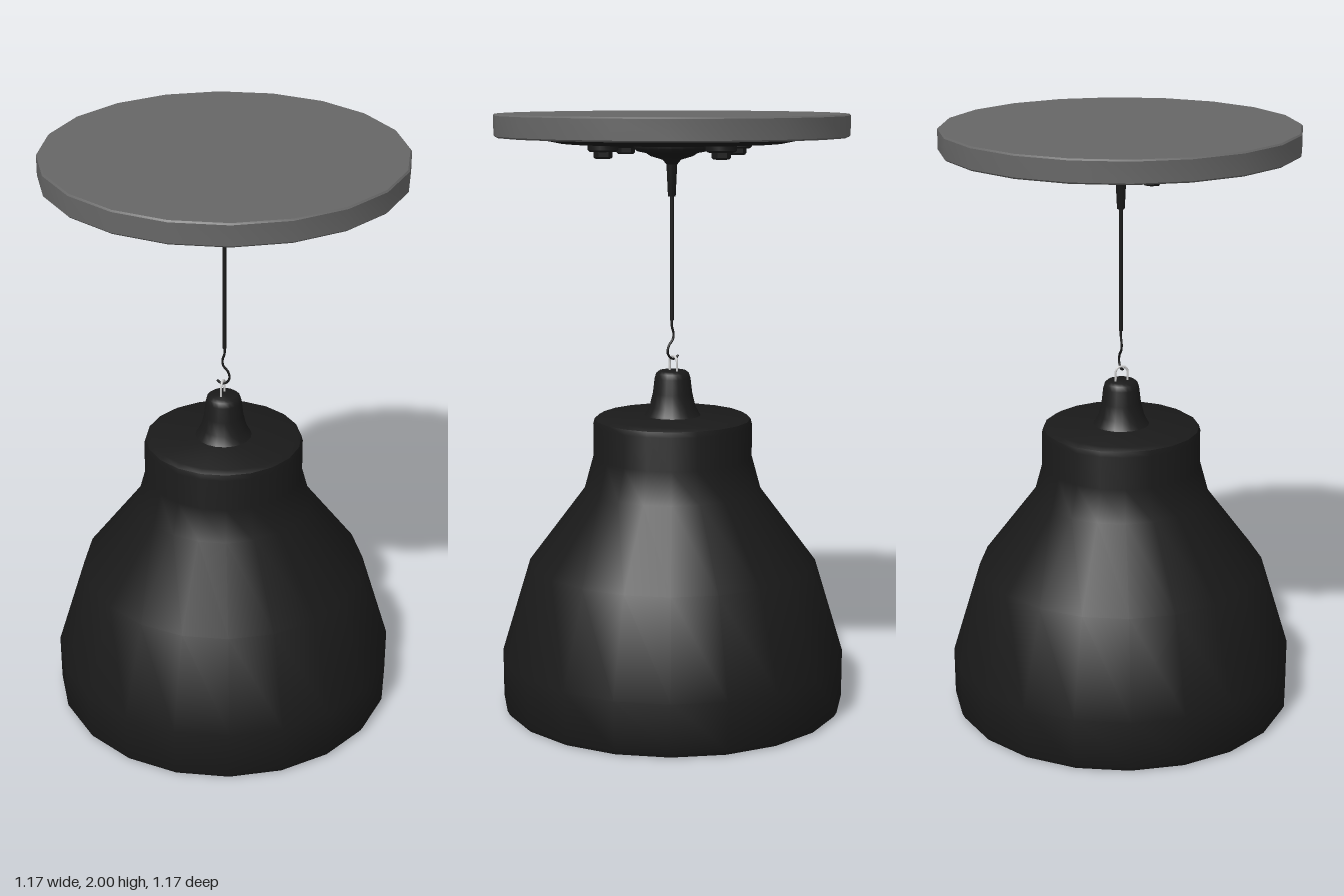
import * as THREE from 'three';
import { toCreasedNormals } from 'three/addons/utils/BufferGeometryUtils.js';

const black = new THREE.MeshStandardMaterial({ color: 0x1a1a1a });
const darkGrey = new THREE.MeshStandardMaterial({ color: 0x666666 });
const grey = new THREE.MeshStandardMaterial({ color: 0xcccccc });

function add(parent, name, geometry, material) {
  const mesh = new THREE.Mesh(geometry, material);
  mesh.name = name;
  parent.add(mesh);
  return mesh;
}

// Turned part from [radius, height] pairs; edges sharper than the crease stay hard
function turned(profile, sides = 20, crease = 0.7) {
  const points = profile.map(([r, y]) => new THREE.Vector2(r, y));
  return toCreasedNormals(new THREE.LatheGeometry(points, sides), crease);
}

function wire(points, radius, segments = 32) {
  const curve = new THREE.CatmullRomCurve3(points.map((p) => new THREE.Vector3(...p)));
  return new THREE.TubeGeometry(curve, segments, radius, 8);
}

export function createModel() {
  const lamp = new THREE.Group();
  lamp.name = 'pendantLamp';

  // Ceiling disc, recessed underneath
  add(lamp, 'ceilingDisc', turned([
    [0, 1.96], [0.47, 1.96], [0.475, 1.925], [0.58, 1.925],
    [0.585, 1.93], [0.585, 1.995], [0.58, 2], [0, 2],
  ], 20, 0.5), darkGrey);

  // Mounting plate with a central hub
  const mount = new THREE.Group();
  mount.name = 'ceilingMount';
  lamp.add(mount);
  add(mount, 'mountingPlate', turned([
    [0, 1.905], [0.37, 1.905], [0.42, 1.915], [0.444, 1.928], [0.444, 1.96],
  ]), black);
  add(mount, 'hub', turned([
    [0, 1.835], [0.018, 1.835], [0.03, 1.85], [0.07, 1.862], [0.085, 1.872],
    [0.115, 1.878], [0.125, 1.89], [0.125, 1.908],
  ]), black);

  // Four bolts on the axes of the plate
  for (let i = 0; i < 4; i++) {
    const bolt = new THREE.Group();
    bolt.name = 'bolt';
    bolt.position.set(0.27 * Math.cos(i * Math.PI / 2), 0, 0.27 * Math.sin(i * Math.PI / 2));
    mount.add(bolt);
    add(bolt, 'washer', turned([
      [0, 1.882], [0.043, 1.882], [0.05, 1.888], [0.05, 1.907],
    ], 16), black);
    add(bolt, 'boltHead', turned([
      [0, 1.86], [0.026, 1.86], [0.031, 1.866], [0.031, 1.883],
    ], 6, 0.4), black);
  }

  // Cord with its sleeve
  add(lamp, 'cordSleeve', turned([
    [0, 1.73], [0.012, 1.73], [0.013, 1.735], [0.018, 1.84],
  ], 12), black);
  add(lamp, 'cord', new THREE.CylinderGeometry(0.007, 0.007, 0.42, 10), black)
    .position.y = 1.53;

  // Hook and the wire loop it holds
  add(lamp, 'hook', wire([
    [0, 1.325, 0], [0, 1.30, 0], [-0.007, 1.275, 0], [-0.004, 1.255, 0],
    [0.012, 1.235, 0], [0.017, 1.212, 0], [0.006, 1.194, 0],
    [-0.012, 1.19, 0], [-0.026, 1.2, 0],
  ], 0.004), black);
  add(lamp, 'wireLoop', wire([
    [-0.006, 1.13, 0.021], [-0.006, 1.16, 0.021], [-0.006, 1.186, 0.02],
    [-0.006, 1.197, 0.01], [-0.006, 1.197, -0.01], [-0.006, 1.186, -0.02],
    [-0.006, 1.16, -0.021], [-0.006, 1.13, -0.021],
  ], 0.004), grey);

  // Shade: black shell, pale lining, cap on top
  const shade = new THREE.Group();
  shade.name = 'shade';
  shade.position.x = -0.003;
  lamp.add(shade);
  add(shade, 'shell', turned([
    [0.56, 0.02], [0.56, 0.007], [0.566, 0], [0.572, 0.002], [0.581, 0.018], [0.582, 0.18],
    [0.485, 0.5], [0.297, 0.75], [0.267, 0.86], [0.267, 0.97],
    [0.262, 0.988], [0.245, 0.998], [0, 1],
  ]), black);
  add(shade, 'lining', turned([
    [0, 0.98], [0.245, 0.975], [0.25, 0.86], [0.28, 0.745],
    [0.467, 0.495], [0.561, 0.18], [0.561, 0.015],
  ]), grey);
  add(shade, 'cap', turned([
    [0.096, 0.997], [0.09, 1.005], [0.077, 1.03], [0.066, 1.075], [0.06, 1.125],
    [0.055, 1.142], [0.045, 1.15], [0, 1.15],
  ]), black);

  // Bulb in its socket
  add(shade, 'bulb', turned([
    [0, 0.09], [0.036, 0.095], [0.07, 0.109], [0.099, 0.131], [0.121, 0.16],
    [0.135, 0.194], [0.14, 0.23], [0.135, 0.266], [0.121, 0.3], [0.1, 0.34],
    [0.075, 0.39], [0.058, 0.44], [0.052, 0.5],
  ], 24, 1), grey);
  add(shade, 'socket', turned([
    [0, 0.48], [0.065, 0.48], [0.075, 0.49], [0.075, 0.7], [0.06, 0.72], [0.06, 0.98],
  ]), black);

  return lamp;
}
